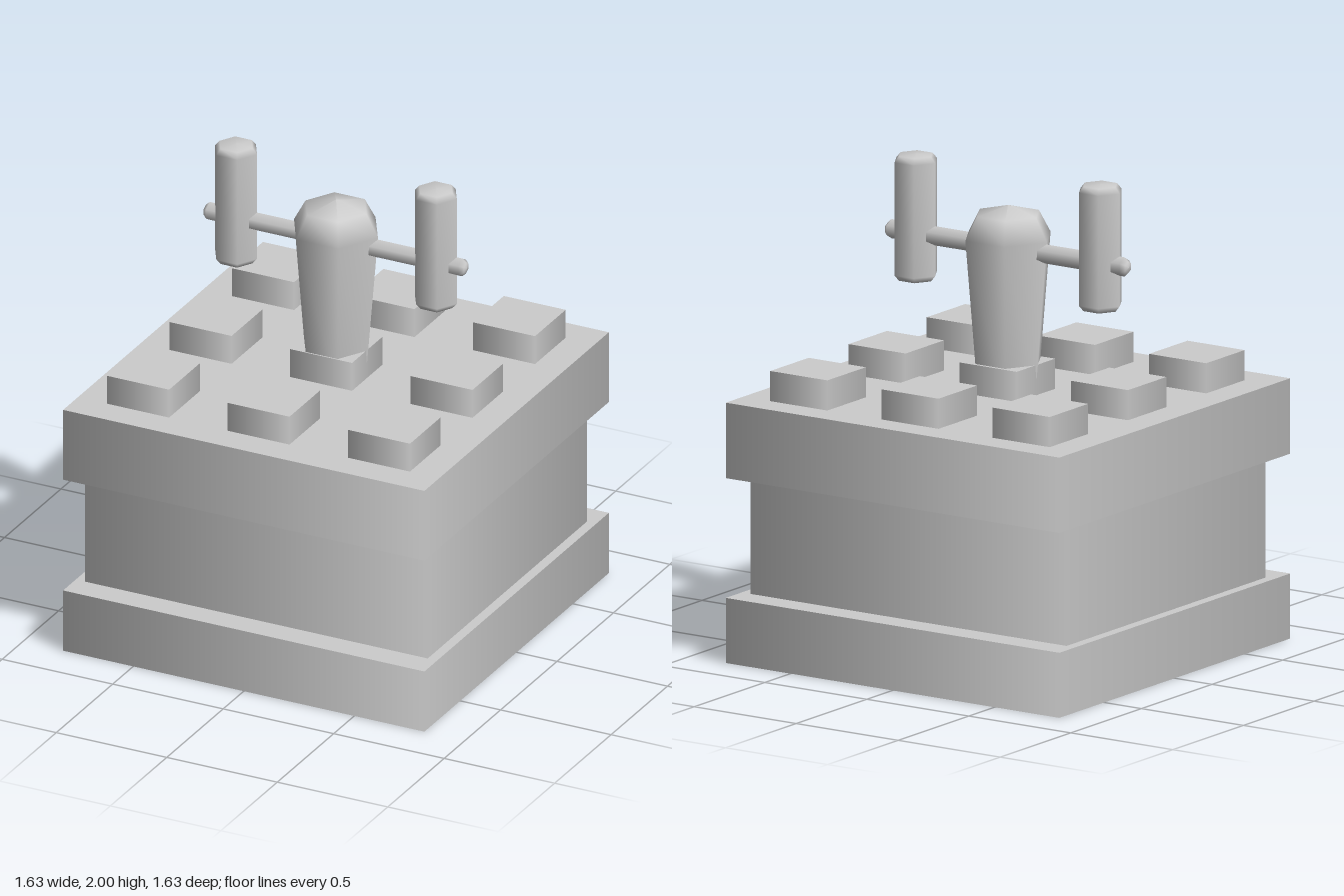
import * as THREE from 'three';

const material = new THREE.MeshStandardMaterial({ color: 0xcccccc });

function add(parent, name, geometry, x = 0, y = 0, z = 0) {
  const mesh = new THREE.Mesh(geometry, material);
  mesh.name = name;
  mesh.position.set(x, y, z);
  parent.add(mesh);
  return mesh;
}

// Four-sided block with softly shaded sides and flat caps, standing on y = 0
function block(width, height, depth) {
  return new THREE.CylinderGeometry(Math.SQRT1_2, Math.SQRT1_2, 1, 4, 1)
    .rotateY(Math.PI / 4)
    .translate(0, 0.5, 0)
    .scale(width, height, depth);
}

// Smooth-shaded six-sided turned shape with corners on the x axis
function hexTurned(profile) {
  const points = profile.map(([r, y]) => new THREE.Vector2(r, y));
  return new THREE.LatheGeometry(points, 6, Math.PI / 2);
}

// Six-sided rod, centred on the origin, with chamfered ends
function hexRod(radius, endRadius, length, chamfer) {
  const h = length / 2;
  return hexTurned([
    [0, -h], [endRadius, -h + 0.004], [radius, -h + chamfer],
    [radius, h - chamfer], [endRadius, h - 0.004], [0, h],
  ]);
}

export function createModel() {
  const model = new THREE.Group();
  model.name = 'plungerBox';

  // Box: wide base and lid around a narrower middle
  add(model, 'baseSlab', block(1.635, 0.27, 1.635));
  add(model, 'boxBody', block(1.55, 0.5, 1.41), 0, 0.268, 0);
  add(model, 'topSlab', block(1.635, 0.313, 1.635), 0, 0.767, 0);

  // Grid of studs on the lid
  const studs = new THREE.Group();
  studs.name = 'studs';
  for (const x of [-0.545, 0, 0.545]) {
    for (const z of [-0.558, -0.004, 0.55]) {
      add(studs, 'stud', block(0.28, 0.126, 0.272), x, 1.079, z);
    }
  }
  model.add(studs);

  // Tapered post with a domed head
  add(model, 'post', hexTurned([[0.134, 1.07], [0.19, 1.72], [0.138, 1.815], [0, 1.85]]));

  // Crossbar through the post, with an upright grip near each end
  add(model, 'crossbar', hexRod(0.04, 0.024, 1.185, 0.022).rotateZ(Math.PI / 2), 0, 1.672, 0);
  for (const side of [-1, 1]) {
    add(model, side > 0 ? 'leftGrip' : 'rightGrip', hexRod(0.095, 0.075, 0.524, 0.028), side * 0.452, 1.738, 0);
  }

  return model;
}
